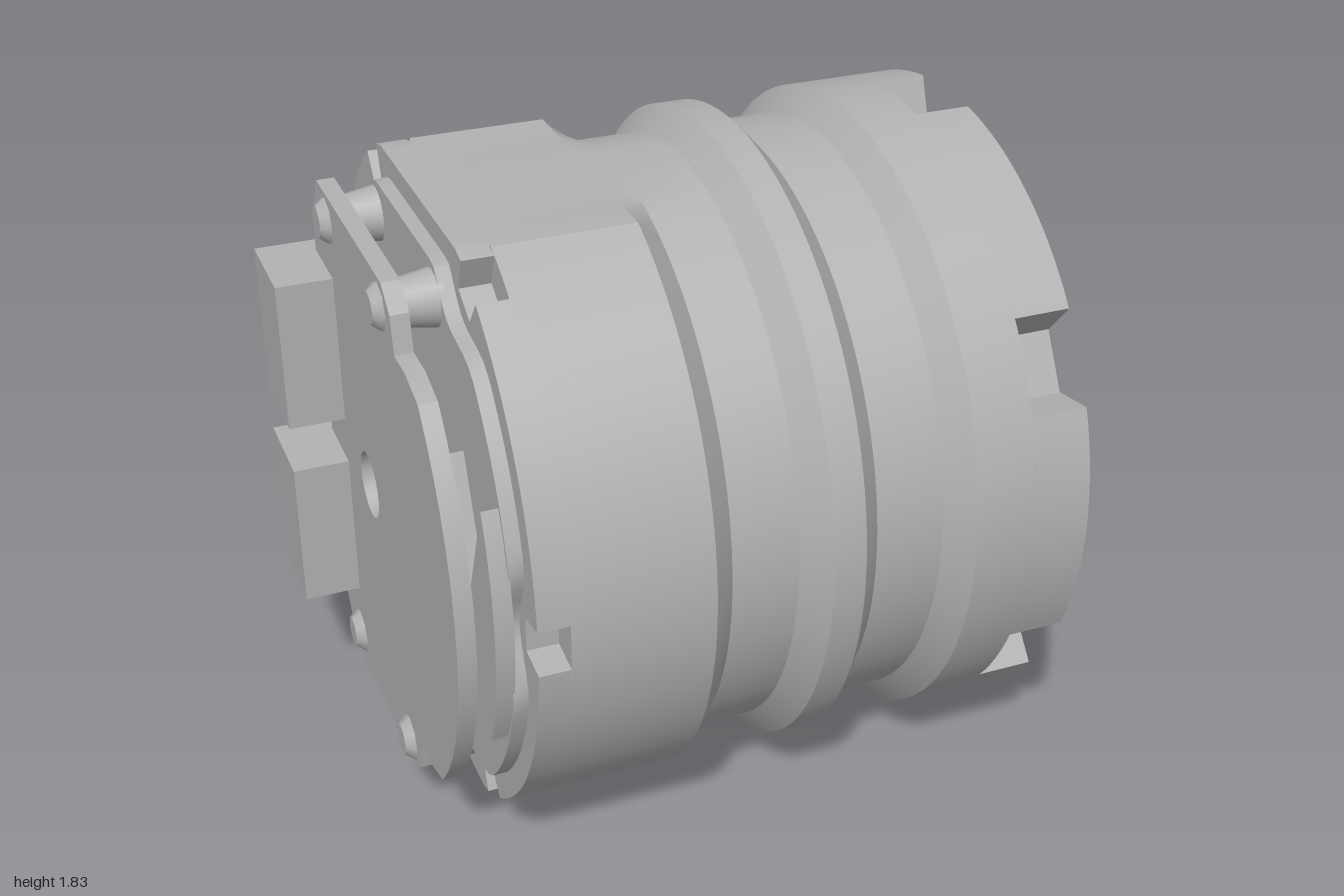
import * as THREE from 'three';
import { toCreasedNormals } from 'three/addons/utils/BufferGeometryUtils.js';

const steel = new THREE.MeshStandardMaterial({ color: 0xb2b2b2, side: THREE.DoubleSide });
steel.name = 'steel grey';

const R = 0.917, FLAT = 0.838, TAU = Math.PI * 2;
const rad = THREE.MathUtils.degToRad;
const V = (x, y) => new THREE.Vector2(x, y);
const polar = (r, a) => V(r * Math.cos(a), r * Math.sin(a));
const clampY = (p, c) => V(p.x, THREE.MathUtils.clamp(p.y, -c, c));

function add(parent, name, geometry, z = 0, x = 0, y = 0) {
  const mesh = new THREE.Mesh(geometry, steel);
  mesh.name = name;
  mesh.position.set(x, y, z);
  parent.add(mesh);
  return mesh;
}

// Circle of points, optionally offset
function circle(r, n, cx = 0, cy = 0) {
  return Array.from({ length: n }, (_, i) => polar(r, (i / n) * TAU).add(V(cx, cy)));
}

// Wall along a closed outline from z0 to z1
function wall(pts, z0, z1) {
  const pos = [];
  pts.forEach((a, i) => {
    const b = pts[(i + 1) % pts.length];
    pos.push(a.x, a.y, z0, b.x, b.y, z0, b.x, b.y, z1, a.x, a.y, z0, b.x, b.y, z1, a.x, a.y, z1);
  });
  const g = new THREE.BufferGeometry();
  g.setAttribute('position', new THREE.Float32BufferAttribute(pos, 3));
  g.computeVertexNormals();
  return toCreasedNormals(g, 0.5);
}

function shapeOf(pts, holes = []) {
  const s = new THREE.Shape(pts);
  s.holes = holes.map((h) => new THREE.Path(h));
  return s;
}
const sheet = (pts, holes) => new THREE.ShapeGeometry(shapeOf(pts, holes));
const slab = (pts, holes, depth) =>
  toCreasedNormals(new THREE.ExtrudeGeometry(shapeOf(pts, holes), { depth, bevelEnabled: false }), 0.5);

// Corners of one rim notch: outer, inner, inner, outer
function notch(angle, outerW, innerW, innerR) {
  const h = Math.asin(outerW / R), o = V(0, 0);
  return [polar(R, angle - h), V(innerR, -innerW).rotateAround(o, angle),
    V(innerR, innerW).rotateAround(o, angle), polar(R, angle + h)];
}

// Round outline with six notches
function notchedOutline(start, outerW, innerW, innerR, clamp) {
  const pts = [], h = Math.asin(outerW / R), step = TAU / 6;
  for (let k = 0; k < 6; k++) {
    const a = start + k * step;
    pts.push(...notch(a, outerW, innerW, innerR));
    for (let i = 1; i < 16; i++) pts.push(polar(R, a + h + ((step - 2 * h) * i) / 16));
  }
  return pts.map((p) => clampY(p, clamp));
}

function notchBacks(parent, start, outerW, innerW, innerR, z) {
  for (let k = 0; k < 6; k++) {
    const a = start + (k * TAU) / 6;
    const [o1, i1, i2, o2] = notch(a, outerW, innerW, innerR);
    add(parent, 'notchBackWall', sheet([o1, polar(R, a), o2, i2, i1]), z);
  }
}

export function createModel() {
  const root = new THREE.Group();
  root.name = 'motorHousing';
  // Local z runs along the housing axis, towards +x of the model
  const g = new THREE.Group();
  g.name = 'housing';
  g.rotation.y = Math.PI / 2;
  g.position.y = R;
  root.add(g);

  // Ribbed shell, flattened above and below at the rear
  const profile = [[R, -0.575], [R, -0.19], [0.846, -0.12], [0.846, 0.065], [R, 0.13], [R, 0.22],
    [0.846, 0.285], [0.846, 0.475], [R, 0.54], [R, 0.71]].map((p) => V(...p));
  const shell = new THREE.LatheGeometry(profile, 120).rotateX(Math.PI / 2);
  const p = shell.attributes.position;
  for (let i = 0; i < p.count; i++) {
    if (p.getZ(i) < -0.1) p.setY(i, THREE.MathUtils.clamp(p.getY(i), -FLAT, FLAT));
  }
  const flatShell = shell.toNonIndexed();
  flatShell.computeVertexNormals();
  add(g, 'shell', toCreasedNormals(flatShell, 0.35));

  // Front rim with six pockets
  const frontRim = notchedOutline(rad(30), 0.13, 0.085, 0.785, 2);
  add(g, 'frontRim', wall(frontRim, 0.71, 0.87));
  notchBacks(g, rad(30), 0.13, 0.085, 0.785, 0.71);

  // Bolt pattern: x, y, radius, sides
  const bolts = [];
  for (let k = 0; k < 12; k++) {
    const c = polar(0.797, rad(15 + 30 * k));
    bolts.push([c.x, c.y, k === 0 || k === 11 ? 0.06 : 0.09, 8]);
  }
  for (const a of [60, 120, 180, 240, 300]) {
    const c = polar(0.79, rad(a));
    bolts.push([c.x, c.y, 0.055, 7]);
  }
  for (const s of [1, -1]) bolts.push([0, s * 0.72, 0.033, 6]);
  const rings = bolts.map(([x, y, r, n]) => circle(r, n, x, y));
  add(g, 'frontFace', sheet(frontRim, [circle(0.53, 72), ...rings]), 0.87);
  add(g, 'openingLip', wall(circle(0.535, 72), 0.835, 0.87));
  add(g, 'openingChamfer', new THREE.RingGeometry(0.53, 0.545, 72), 0.835);
  bolts.forEach(([x, y, r, n], i) => {
    add(g, 'boltHole', wall(rings[i], 0.8, 0.87));
    const tip = new THREE.ConeGeometry(r, r * 0.5, n, 1, true).toNonIndexed().rotateX(-Math.PI / 2);
    tip.rotateZ(Math.PI / n * (n % 2 ? 1 : 0));
    tip.computeVertexNormals();
    add(g, 'boltHoleTip', tip, 0.8 - r * 0.25, x, y);
  });

  // Bean-shaped bracket on the front face
  const bracket = [];
  for (let i = -10; i <= 10; i++) bracket.push(polar(R - 0.003, rad(i * 2.05)));
  bracket.push(V(0.79, 0.352), V(0.72, 0.345));
  for (let i = 0; i <= 16; i++) {
    const y = 0.3 - (0.6 * i) / 16;
    bracket.push(V(0.645 - 0.028 * Math.cos((y / 0.22) * Math.PI) * -1 + (Math.abs(y) > 0.25 ? 0.015 : 0), y));
  }
  bracket.push(V(0.72, -0.345), V(0.79, -0.352));
  add(g, 'bracket', slab(bracket, [circle(0.06, 8, 0.77, 0.206), circle(0.06, 8, 0.77, -0.206)], 0.13), 0.868);

  // Rear rim with small notches, closed by the end plate
  const rearRim = notchedOutline(0, 0.065, 0.05, 0.82, FLAT);
  add(g, 'rearRim', wall(rearRim, -0.66, -0.575));
  notchBacks(g, 0, 0.065, 0.05, 0.82, -0.575);
  const bore = circle(0.088, 20);
  add(g, 'endPlate', sheet(rearRim, [bore]), -0.66);

  // Scalloped rear cover and its raised pad
  const cover = [];
  for (let i = 0; i < 120; i++) {
    const a = (i / 120) * TAU;
    cover.push(clampY(polar(0.85 - 0.08 * Math.max(0, Math.cos(6 * a)) ** 2, a), 0.775));
  }
  add(g, 'rearCover', slab(cover, [bore], 0.04), -0.7);
  const pad = [V(-0.48, -0.345)];
  for (let i = -8; i <= 8; i++) pad.unshift(polar(0.84, Math.PI + rad(i * 3.02)));
  pad.push(V(-0.48, 0.345));
  add(g, 'rearPad', slab(pad, [], 0.05), -0.745);

  // Circuit board on a hub and four standoffs
  const board = [V(0.46, -0.62), V(0.46, 0.62), V(0.37, 0.757), V(-0.31, 0.757), V(-0.38, 0.7), V(-0.4, 0.6), V(-0.5, 0.6)];
  for (let i = -12; i <= 12; i++) board.push(polar(0.832, Math.PI + rad(i * 3.6)));
  board.push(V(-0.5, -0.6), V(-0.4, -0.6), V(-0.38, -0.7), V(-0.31, -0.757), V(0.37, -0.757));
  add(g, 'circuitBoard', slab(board, [circle(0.095, 20)], 0.05), -0.84);
  add(g, 'hub', wall(circle(0.1, 20), -0.8, -0.69));
  for (const x of [0.28, -0.27]) {
    for (const y of [0.675, -0.675]) {
      add(g, 'standoff', new THREE.CylinderGeometry(0.08, 0.062, 0.11, 16).rotateX(Math.PI / 2), -0.74, x, y);
      add(g, 'standoffScrew', new THREE.CylinderGeometry(0.07, 0.045, 0.03, 8).rotateX(Math.PI / 2), -0.852, x, y);
    }
  }

  // Two plug sockets, open towards the back, with dividers and pins
  for (const s of [1, -1]) {
    const socket = new THREE.Group();
    socket.name = 'plugSocket';
    socket.position.set(0.395, s * 0.29, -0.895);
    g.add(socket);
    const box = (name, w, h, d, x, y, z) => add(socket, name, new THREE.BoxGeometry(w, h, d), z, x, y);
    box('socketOuterWall', 0.27, 0.44, 0.02, 0, 0, -0.095);
    box('socketInnerWall', 0.27, 0.44, 0.02, 0, 0, 0.095);
    box('socketBackWall', 0.03, 0.44, 0.18, -0.12, 0, 0);
    for (const y of [-0.21, 0.21]) box('socketEndWall', 0.27, 0.02, 0.19, 0, y, 0);
    for (const y of [-0.07, 0.07]) box('socketDivider', 0.22, 0.015, 0.18, 0, y, 0);
    for (const y of [-0.14, 0, 0.14]) box('socketPin', 0.17, 0.03, 0.03, -0.03, y, 0.01);
  }
  return root;
}
